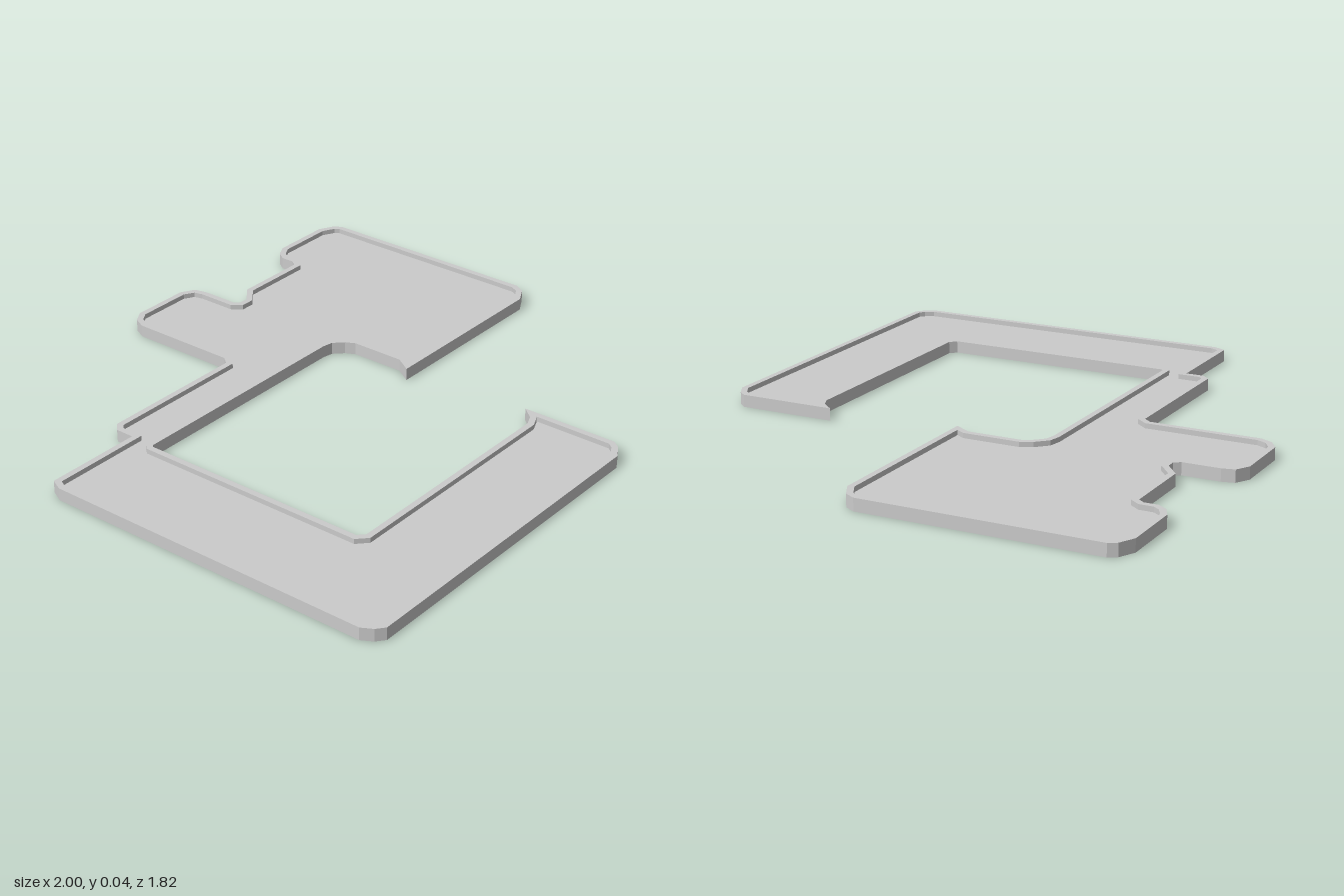
import * as THREE from 'three';

const HEIGHT = 0.042;  // top of the rim
const FLOOR = 0.025;   // top of the recessed floor
const RIM = 0.021;     // width of the rim

// Plan outline as [x, z], starting at the back of the -x side
const OUTLINE = [
  // back edge with its tabs and notch
  [-1, -.302], [-.979, -.345], [-.636, -.345], [-.636, -.409], [-.61, -.436],
  [-.086, -.436], [-.064, -.463], [-.064, -.842], [-.043, -.885], [0, -.912],
  [.209, -.912], [.257, -.885], [.267, -.842], [.267, -.714], [.283, -.693],
  [.315, -.693], [.374, -.741], [.636, -.741], [.652, -.762], [.652, -.81],
  [.674, -.842], [.717, -.864], [.93, -.864], [.984, -.837], [1, -.81],
  // +x side and its pointed hook
  [1, -.008], [.979, .029], [.92, .061], [.257, .061], [.294, .003],
  // inner opening
  [.294, -.184], [.278, -.217], [.246, -.249], [.209, -.256], [-.635, -.256], [-.642, -.263 + .015],
  [-.642, .559], [-.62, .58], [.209, .58], [.246, .564],
  // front arm
  [.283, .521], [.283, .858], [.262, .885], [.214, .912],
  [-.952, .912], [-.979, .89], [-1, .853],
].map(([x, z]) => new THREE.Vector2(x, z));

// Mitred inset of a closed outline
function inset(points, d) {
  const n = points.length;
  const normal = (a, b) => {
    const e = b.clone().sub(a).normalize();
    return new THREE.Vector2(-e.y, e.x);
  };
  return points.map((p, i) => {
    const n1 = normal(points[(i + n - 1) % n], p);
    const n2 = normal(p, points[(i + 1) % n]);
    const miter = n1.clone().add(n2).multiplyScalar(d / (1 + n1.dot(n2)));
    return p.clone().add(miter);
  });
}

// Upright slab standing on y = 0 from a plan shape
function slab(name, shape, height, material) {
  const geometry = new THREE.ExtrudeGeometry(shape, { depth: height, bevelEnabled: false });
  geometry.rotateX(Math.PI / 2).translate(0, height, 0);
  const mesh = new THREE.Mesh(geometry, material);
  mesh.name = name;
  return mesh;
}

export function createModel() {
  const group = new THREE.Group();
  group.name = 'rimmedPlate';
  const material = new THREE.MeshStandardMaterial({ color: 0xcccccc, flatShading: true });

  const inner = inset(OUTLINE, RIM);

  // raised rim following the outline
  const rimShape = new THREE.Shape(OUTLINE);
  rimShape.holes.push(new THREE.Path(inner));
  group.add(slab('rim', rimShape, HEIGHT, material));

  // recessed floor inside the rim
  group.add(slab('floor', new THREE.Shape(inner), FLOOR, material));

  return group;
}
